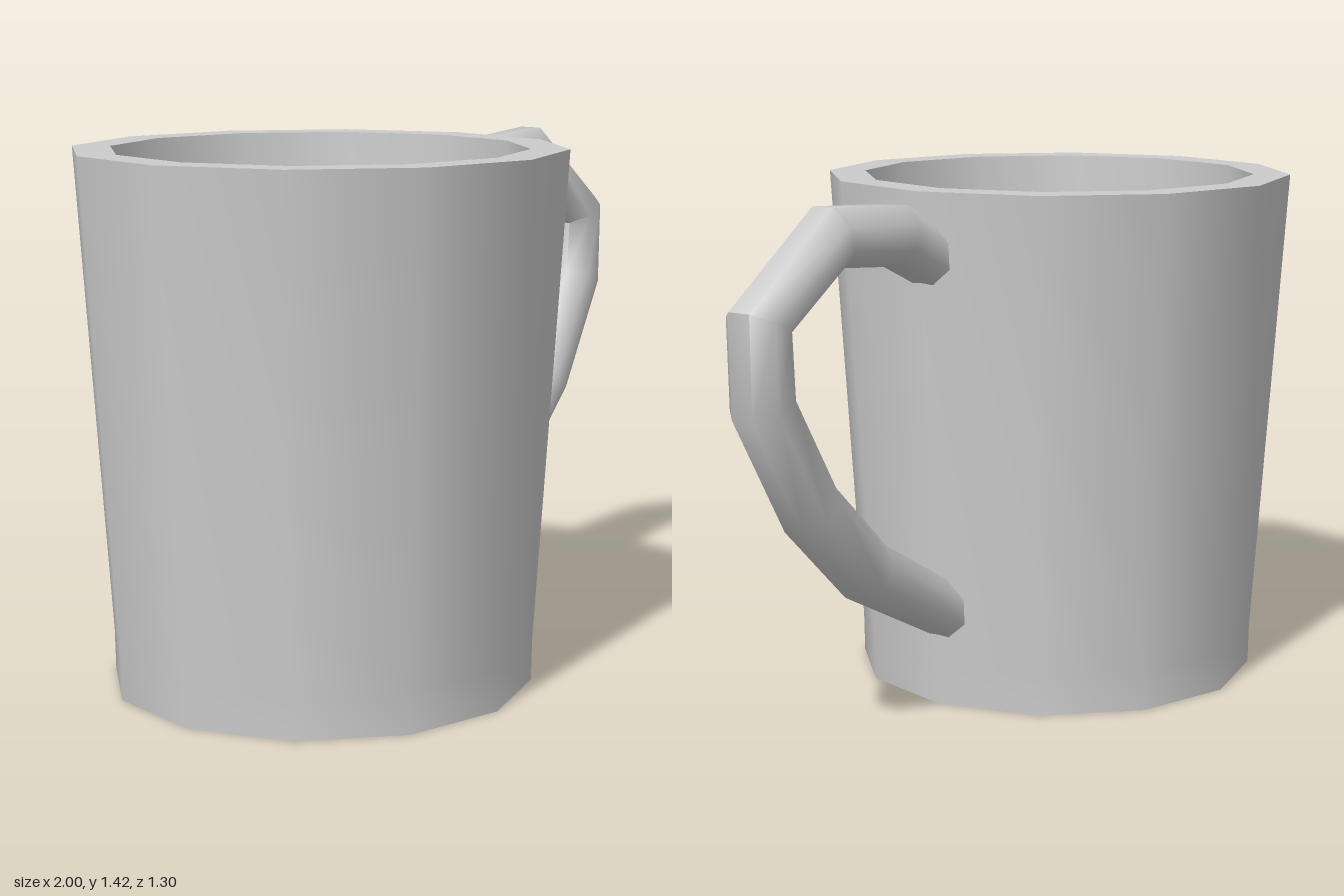
import * as THREE from 'three';
import { toCreasedNormals } from 'three/addons/utils/BufferGeometryUtils.js';

const SIDES = 12;
const CUP_X = -0.348;

// Tube of octagonal rings following a path in the xy plane; end rings stand upright
function handleGeometry(path, radius, sides) {
  const pos = [], index = [];
  path.forEach(([x, y], i) => {
    const t = new THREE.Vector2();
    const dir = (a, b) => new THREE.Vector2(b[0] - a[0], b[1] - a[1]).normalize();
    if (i === 0) t.set(1, 0);
    else if (i === path.length - 1) t.set(-1, 0);
    else t.addVectors(dir(path[i - 1], path[i]), dir(path[i], path[i + 1])).normalize();
    for (let j = 0; j < sides; j++) {
      const a = ((j + 0.5) / sides) * Math.PI * 2;
      const c = Math.cos(a) * radius;
      pos.push(x - t.y * c, y + t.x * c, Math.sin(a) * radius);
    }
  });
  for (let i = 0; i < path.length - 1; i++) {
    for (let j = 0; j < sides; j++) {
      const k = (j + 1) % sides;
      const a = i * sides + j, b = a + sides, d = i * sides + k, c = d + sides;
      index.push(a, d, c, a, c, b);
    }
  }
  const geo = new THREE.BufferGeometry();
  geo.setAttribute('position', new THREE.Float32BufferAttribute(pos, 3));
  geo.setIndex(index);
  return toCreasedNormals(geo, THREE.MathUtils.degToRad(52));
}

export function createModel() {
  const group = new THREE.Group();
  group.name = 'mug';
  const material = new THREE.MeshStandardMaterial({ color: 0xcccccc });

  // Cup: recessed base, foot, tapered wall, flat rim, inside wall and floor
  const profile = [
    [0, 0.06], [0.485, 0.06], [0.485, 0], [0.565, 0], [0.567, 0.11],
    [0.652, 1.42], [0.55, 1.42], [0.492, 0.12], [0, 0.12],
  ].map(([r, y]) => new THREE.Vector2(r, y));
  const cupGeo = toCreasedNormals(
    new THREE.LatheGeometry(profile, SIDES), THREE.MathUtils.degToRad(35));
  const cup = new THREE.Mesh(cupGeo, material);
  cup.name = 'cup';
  cup.position.x = CUP_X;
  group.add(cup);

  // Handle: starts and ends inside the wall thickness
  const path = [
    [0.24, 1.235], [0.4, 1.315], [0.665, 1.335], [0.932, 1.15],
    [0.923, 0.942], [0.75, 0.652], [0.53, 0.443], [0.19, 0.262],
  ];
  const handle = new THREE.Mesh(handleGeometry(path, 0.0866, 8), material);
  handle.name = 'handle';
  group.add(handle);

  return group;
}
